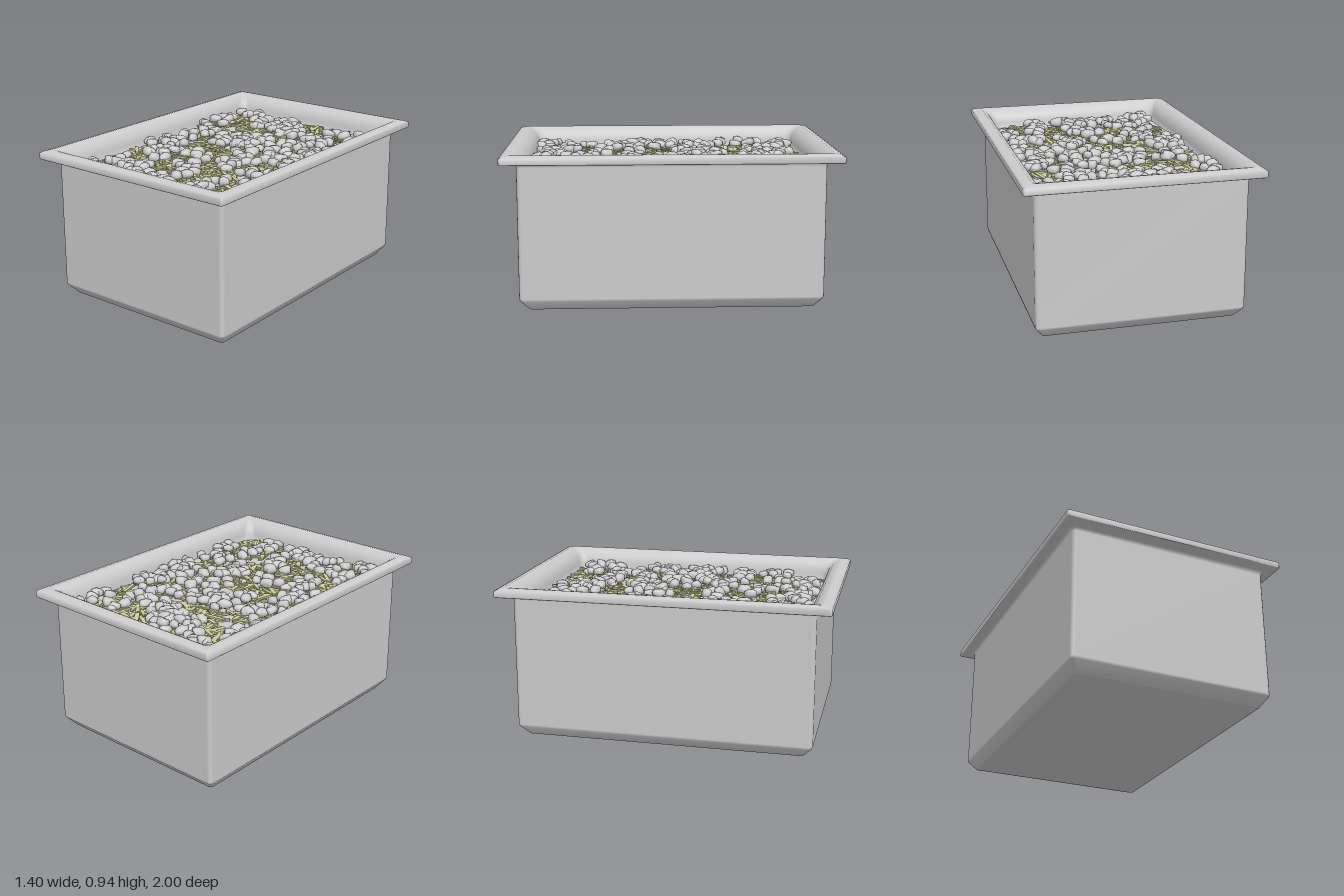
import * as THREE from 'three';
import { mergeGeometries, mergeVertices } from 'three/addons/utils/BufferGeometryUtils.js';

// Small seeded generator for the scattered filling
let seed = 7;
function rand(a = 0, b = 1) {
  seed = (seed * 1664525 + 1013904223) % 4294967296;
  return a + (b - a) * seed / 4294967296;
}

// Rounded rectangle in the xz plane, 4 points per corner
function ring(hx, y, hz, r) {
  const pts = [];
  for (let c = 0; c < 4; c++) {
    const sx = c === 0 || c === 3 ? 1 : -1, sz = c < 2 ? 1 : -1;
    for (let i = 0; i < 4; i++) {
      const a = (c + i / 3) * Math.PI / 2;
      pts.push([sx * (hx - r) + r * Math.cos(a), y, sz * (hz - r) + r * Math.sin(a)]);
    }
  }
  return pts;
}

// Skin over rings, listed bottom-out to top-in, closed by a cap at each end
function loft(rings) {
  const n = rings[0].length, pos = rings.flat(2), idx = [];
  for (let k = 0; k < rings.length - 1; k++) {
    for (let i = 0; i < n; i++) {
      const a = k * n + i, b = k * n + (i + 1) % n;
      idx.push(a, a + n, b, b, a + n, b + n);
    }
  }
  const last = (rings.length - 1) * n;
  for (let i = 1; i < n - 1; i++) {
    idx.push(0, i, i + 1);
    idx.push(last, last + i + 1, last + i);
  }
  const geo = new THREE.BufferGeometry();
  geo.setAttribute('position', new THREE.Float32BufferAttribute(pos, 3));
  geo.setIndex(idx);
  geo.computeVertexNormals();
  return geo;
}

// Pebble: a squared-off ball, narrowed towards one side and the top
function pebbleGeometry() {
  let geo = new THREE.SphereGeometry(1, 9, 6);
  geo.deleteAttribute('uv');
  geo.deleteAttribute('normal');
  geo = mergeVertices(geo);
  const p = geo.attributes.position;
  const taper = rand(0.2, 0.5), skew = rand(-0.2, 0.2);
  for (let i = 0; i < p.count; i++) {
    const v = new THREE.Vector3().fromBufferAttribute(p, i);
    const len = Math.pow(v.x ** 4 + v.y ** 4 + v.z ** 4, 0.25);
    v.divideScalar(len);
    const s = 1 - taper * (v.x + 1) / 2;
    p.setXYZ(i, v.x + skew * v.z, v.y * (1 - 0.2 * v.x), v.z * s * (1 - 0.15 * v.y));
  }
  geo.computeVertexNormals();
  return geo;
}

// Move a geometry into place with a heading and a slight tilt
function place(geo, x, y, z, tilt, scale) {
  const q = new THREE.Quaternion().setFromEuler(
    new THREE.Euler(rand(-tilt, tilt), rand(0, Math.PI * 2), rand(-tilt, tilt), 'YXZ'));
  return geo.applyMatrix4(new THREE.Matrix4().compose(new THREE.Vector3(x, y, z), q, scale));
}

export function createModel() {
  const model = new THREE.Group();
  const grey = new THREE.MeshStandardMaterial({ color: 0xcccccc });
  const straw = new THREE.MeshStandardMaterial({ color: 0xcccc99 });
  function add(name, geo, mat) {
    const mesh = new THREE.Mesh(geo, mat);
    mesh.name = name;
    model.add(mesh);
  }

  // Tub: chamfered foot, straight walls, projecting rim, hollow inside
  // Each row: half width, height, half depth, corner radius
  const profile = [
    [0.575, 0, 0.845, 0.02], [0.585, 0.002, 0.855, 0.02],
    [0.627, 0.06, 0.905, 0.025], [0.63, 0.075, 0.91, 0.025],
    [0.627, 0.865, 0.907, 0.025], [0.632, 0.883, 0.912, 0.025],
    [0.645, 0.889, 0.925, 0.02], [0.695, 0.889, 0.995, 0.012],
    [0.70, 0.893, 1.0, 0.012], [0.70, 0.927, 1.0, 0.012],
    [0.69, 0.934, 0.985, 0.015], [0.655, 0.943, 0.95, 0.02],
    [0.635, 0.94, 0.93, 0.025], [0.605, 0.92, 0.895, 0.04],
    [0.585, 0.89, 0.87, 0.05], [0.575, 0.85, 0.858, 0.06],
    [0.57, 0.78, 0.85, 0.07],
  ];
  add('tub', loft(profile.map(p => ring(...p))), grey);

  // Bed of soil under the scatter
  const bed = new THREE.ShapeGeometry(new THREE.Shape(
    ring(0.573, 0, 0.855, 0.07).map(p => new THREE.Vector2(p[0], p[2]))));
  bed.rotateX(-Math.PI / 2).translate(0, 0.81, 0);
  add('soilBed', bed, grey);

  // Straw pieces lying flat over the bed
  const pieces = [];
  for (let i = 0; i < 620; i++) {
    const geo = new THREE.BoxGeometry(rand(0.08, 0.15), 0.012, rand(0.018, 0.03));
    pieces.push(place(geo, rand(-0.515, 0.515), rand(0.815, 0.832), rand(-0.8, 0.8),
      0.1, new THREE.Vector3(1, 1, 1)));
  }
  add('straw', mergeGeometries(pieces), straw);

  // Pebbles in loose clumps
  const stones = [];
  for (let c = 0; c < 125; c++) {
    const cx = rand(-0.55, 0.55), cz = rand(-0.83, 0.83);
    const count = 1 + Math.floor(rand(0, 4));
    const start = rand(0, Math.PI * 2);
    for (let i = 0; i < count; i++) {
      const a = start + i * 2.1, d = count > 1 ? rand(0.035, 0.065) : 0;
      const x = THREE.MathUtils.clamp(cx + d * Math.cos(a), -0.55, 0.55);
      const z = THREE.MathUtils.clamp(cz + d * Math.sin(a), -0.83, 0.83);
      const s = rand(0.031, 0.04);
      stones.push(place(pebbleGeometry(), x, rand(0.838, 0.855), z, 0.25,
        new THREE.Vector3(s, s * 0.65, s)));
    }
  }
  add('pebbles', mergeGeometries(stones), grey);
  return model;
}
